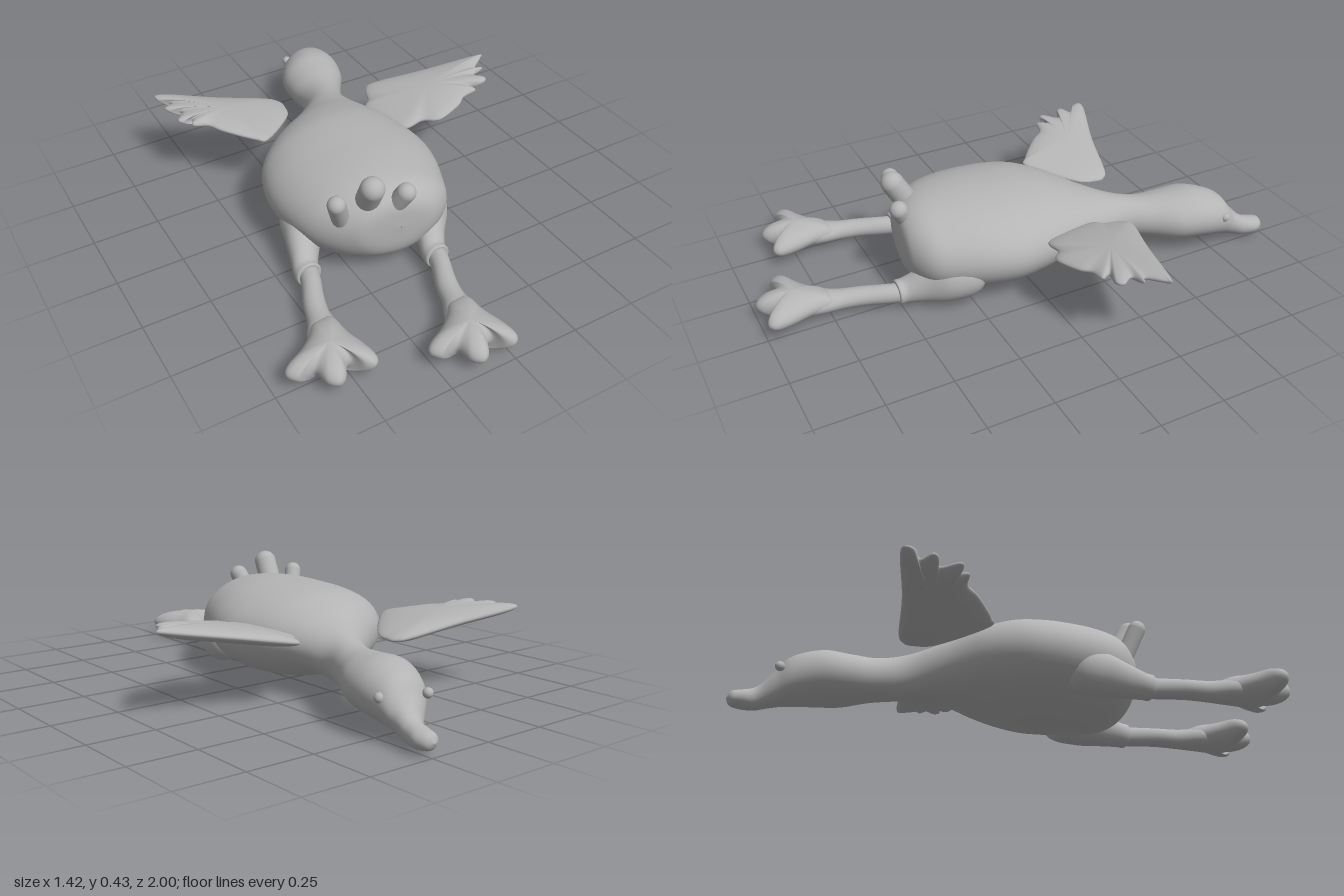
import * as THREE from 'three';

const grey = new THREE.MeshStandardMaterial({ color: 0xb4b4b4 });
grey.name = 'plain grey';

function add(parent, name, geometry) {
  const mesh = new THREE.Mesh(geometry, grey);
  mesh.name = name;
  parent.add(mesh);
  return mesh;
}

// Smooth skin over rows of points, each row closed around
function skin(rows, n, pointAt) {
  const pos = [], index = [];
  for (let i = 0; i <= rows; i++) {
    for (let j = 0; j < n; j++) pos.push(...pointAt(i / rows, j / n));
  }
  for (let i = 0; i < rows; i++) {
    for (let j = 0; j < n; j++) {
      const a = i * n + j, b = i * n + (j + 1) % n, c = a + n, d = b + n;
      index.push(a, b, c, b, d, c);
    }
  }
  const g = new THREE.BufferGeometry();
  g.setAttribute('position', new THREE.Float32BufferAttribute(pos, 3));
  g.setIndex(index);
  g.computeVertexNormals();
  return g;
}

const spline = (points, closed = false) =>
  new THREE.CatmullRomCurve3(points.map(p => new THREE.Vector3(...p)), closed, 'catmullrom', 0.5);

// Oval sections along z: [z, left x, right x, bottom y, top y]
function loft(sections, rows, n, shear = () => 0) {
  const low = spline(sections.map(s => [s[1], s[3], s[0]]));
  const high = spline(sections.map(s => [s[2], s[4], s[0]]));
  return skin(rows, n, (u, v) => {
    const p = low.getPoint(u), q = high.getPoint(u), a = v * Math.PI * 2;
    const x = (p.x + q.x) / 2 + Math.cos(a) * (q.x - p.x) / 2;
    const y = (p.y + q.y) / 2 + Math.sin(a) * (q.y - p.y) / 2;
    return [x, y, p.z + shear(x, p.z)];
  });
}

// Puffed pad from an outline of [x, z], thickest at its centre
function pad(outline, cx, cz, half, heightAt) {
  const pts = outline.map(([x, z]) => new THREE.Vector2(x, z));
  if (THREE.ShapeUtils.area(pts) < 0) pts.reverse();
  const edge = spline(pts.map(p => [p.x, 0, p.y]), true);
  return skin(20, 120, (u, v) => {
    const e = edge.getPoint(v), a = u * Math.PI, t = Math.max(Math.sin(a), 0.001);
    const x = cx + (e.x - cx) * t, z = cz + (e.z - cz) * t;
    return [x, heightAt(x) + half * Math.cos(a), z];
  });
}

export function createModel() {
  const bird = new THREE.Group();
  bird.name = 'lyingBird';

  // Bill, head, neck and body in one skin; the rump slants a little
  add(bird, 'body', loft([
    [-1.0, 0.238, 0.242, 0.048, 0.052], [-0.985, 0.21, 0.27, 0.025, 0.078],
    [-0.95, 0.197, 0.282, 0.018, 0.088], [-0.9, 0.185, 0.272, 0.016, 0.105],
    [-0.85, 0.13, 0.268, 0.024, 0.155], [-0.8, 0.075, 0.28, 0.033, 0.215],
    [-0.7, 0.02, 0.28, 0.042, 0.245], [-0.6, 0.008, 0.255, 0.05, 0.24],
    [-0.5, 0.008, 0.195, 0.07, 0.235], [-0.4, -0.03, 0.152, 0.077, 0.25],
    [-0.3, -0.14, 0.158, 0.078, 0.28], [-0.2, -0.28, 0.18, 0.06, 0.32],
    [-0.1, -0.37, 0.208, 0.03, 0.35], [0, -0.41, 0.228, 0.012, 0.362],
    [0.1, -0.422, 0.235, 0.006, 0.367], [0.2, -0.412, 0.215, 0.01, 0.37],
    [0.3, -0.385, 0.17, 0.018, 0.366], [0.37, -0.34, 0.13, 0.035, 0.355],
    [0.42, -0.28, 0.07, 0.07, 0.33], [0.445, -0.22, 0.01, 0.12, 0.29],
    [0.452, -0.102, -0.098, 0.208, 0.212],
  ], 110, 56, (x, z) => 0.12 * (x + 0.1) * THREE.MathUtils.smoothstep(z, 0.15, 0.42)));

  // Eyes
  for (const [x, z] of [[0.272, -0.79], [0.112, -0.843]]) {
    add(bird, 'eye', new THREE.SphereGeometry(0.018, 20, 14)).position.set(x, 0.15, z);
  }

  // Wings with ragged feather tips
  add(bird, 'rightWing', pad([
    [-0.11, -0.42], [-0.115, -0.46], [-0.16, -0.492], [-0.35, -0.545], [-0.56, -0.622],
    [-0.582, -0.585], [-0.54, -0.55], [-0.578, -0.52], [-0.57, -0.495], [-0.525, -0.475],
    [-0.565, -0.42], [-0.55, -0.4], [-0.51, -0.41], [-0.525, -0.37], [-0.47, -0.355],
    [-0.43, -0.3], [-0.34, -0.215], [-0.29, -0.2], [-0.14, -0.34],
  ], -0.36, -0.43, 0.03, x => 0.195 - 0.2 * x));
  add(bird, 'leftWing', pad([
    [0.16, -0.22], [0.195, -0.27], [0.22, -0.335], [0.265, -0.354], [0.46, -0.29],
    [0.695, -0.222], [0.7, -0.2], [0.64, -0.155], [0.665, -0.135], [0.61, -0.12],
    [0.635, -0.075], [0.61, -0.055], [0.55, -0.07], [0.56, -0.035], [0.5, -0.03],
    [0.455, 0], [0.37, 0.025], [0.33, 0.018], [0.29, -0.015], [0.2, -0.03],
  ], 0.41, -0.16, 0.032, x => 0.2 + 0.165 * x));

  // Tail feathers: base, tip, radius
  for (const [base, tip, r] of [
    [[-0.19, 0.29, 0.36], [-0.2, 0.395, 0.42], 0.044],
    [[-0.285, 0.25, 0.35], [-0.32, 0.35, 0.385], 0.033],
    [[-0.11, 0.25, 0.39], [-0.08, 0.35, 0.445], 0.035],
  ]) {
    const a = new THREE.Vector3(...base), b = new THREE.Vector3(...tip);
    const dir = b.clone().sub(a);
    const feather = add(bird, 'tailFeather', new THREE.CapsuleGeometry(r, dir.length(), 10, 24));
    feather.position.copy(a).add(b).multiplyScalar(0.5);
    feather.quaternion.setFromUnitVectors(new THREE.Vector3(0, 1, 0), dir.normalize());
  }

  // Legs: same shape twice, the left one further back
  const thigh = loft([
    [0.04, -0.302, -0.298, 0.128, 0.132], [0.1, -0.4, -0.25, 0.05, 0.21],
    [0.2, -0.432, -0.272, 0.03, 0.198], [0.28, -0.452, -0.335, 0.022, 0.15],
    [0.335, -0.468, -0.37, 0.018, 0.115], [0.362, -0.469, -0.373, 0.018, 0.112],
    [0.366, -0.455, -0.385, 0.03, 0.1], [0.366, -0.421, -0.419, 0.064, 0.066],
  ], 48, 32);
  const shin = loft([
    [0.32, -0.445, -0.37, 0.025, 0.1], [0.4, -0.472, -0.395, 0.025, 0.1],
    [0.48, -0.508, -0.426, 0.024, 0.096], [0.56, -0.535, -0.447, 0.02, 0.095],
    [0.64, -0.575, -0.448, 0.018, 0.105], [0.72, -0.58, -0.465, 0.02, 0.12],
    [0.78, -0.53, -0.526, 0.068, 0.072],
  ], 36, 28);
  const foot = pad([
    [-0.53, 0.59], [-0.46, 0.59], [-0.447, 0.68], [-0.425, 0.76], [-0.418, 0.82],
    [-0.44, 0.843], [-0.47, 0.83], [-0.495, 0.79], [-0.52, 0.8], [-0.545, 0.84],
    [-0.575, 0.852], [-0.605, 0.825], [-0.615, 0.77], [-0.645, 0.765], [-0.68, 0.768],
    [-0.704, 0.74], [-0.69, 0.712], [-0.63, 0.68], [-0.575, 0.64],
  ], -0.54, 0.725, 0.056, () => 0.07);
  for (const [name, x, z] of [['rightLeg', 0, 0], ['leftLeg', 0.44, 0.148]]) {
    const leg = new THREE.Group();
    leg.name = name;
    leg.position.set(x, 0, z);
    add(leg, 'thigh', thigh);
    add(leg, 'shin', shin);
    add(leg, 'foot', foot);
    bird.add(leg);
  }

  return bird;
}
